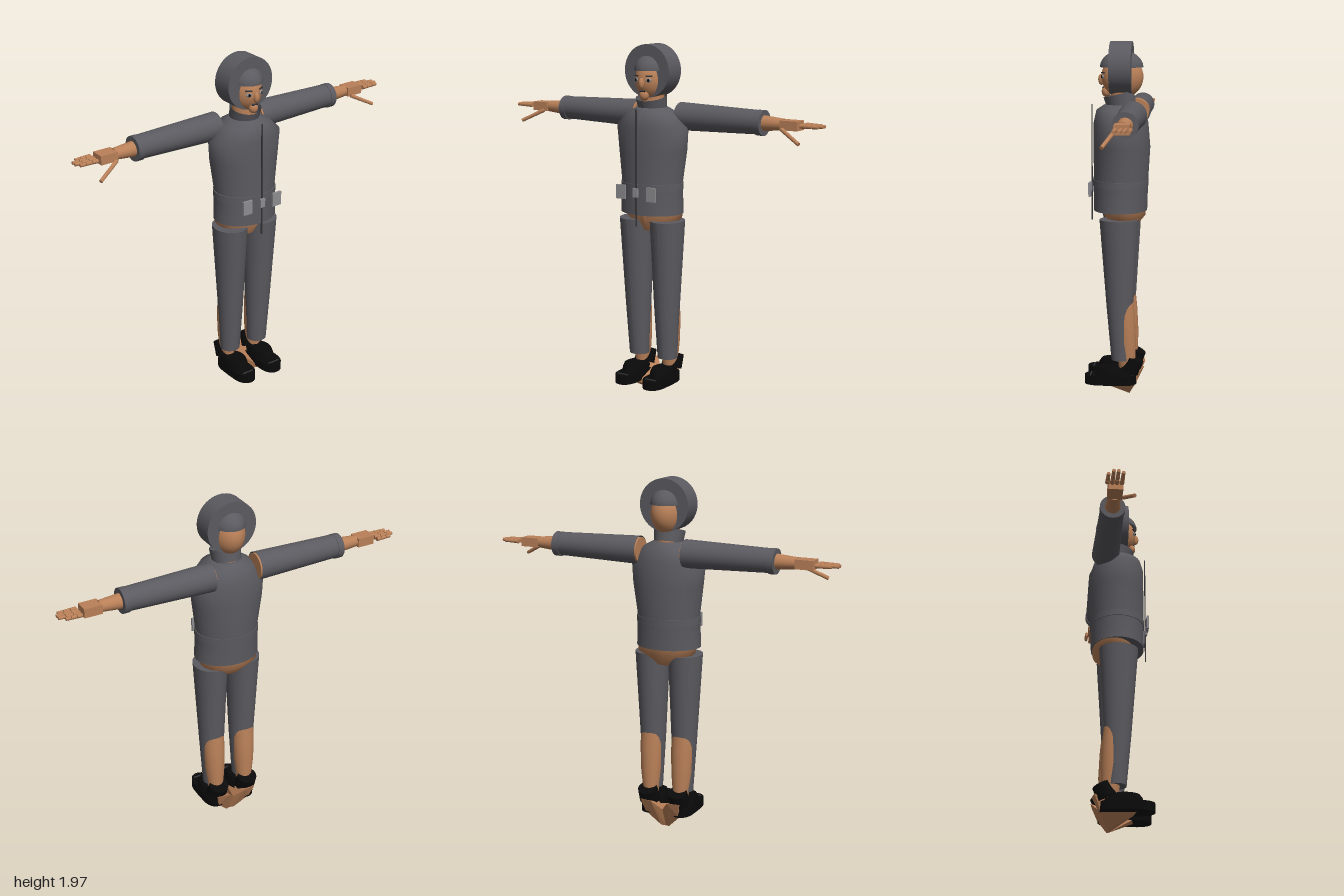
import * as THREE from 'three';
import { ConvexGeometry } from 'three/addons/geometries/ConvexGeometry.js';

const mat = (name, color) => {
  const m = new THREE.MeshStandardMaterial({ color });
  m.name = name;
  return m;
};

export function createModel() {
  const suit = mat('suitGrey', 0x5a5a60);
  const skin = mat('skin', 0xb98058);
  const black = mat('shoeBlack', 0x0a0a0b);
  const metal = mat('lightGrey', 0x8e8e92);
  const dark = mat('darkGrey', 0x38383c);
  suit.side = skin.side = THREE.DoubleSide;

  const model = new THREE.Group();
  model.name = 'figure';

  const add = (parent, name, geo, material, pos = [0, 0, 0], rot = [0, 0, 0]) => {
    const mesh = new THREE.Mesh(geo, material);
    mesh.name = name;
    mesh.position.set(...pos);
    mesh.rotation.set(...rot);
    parent.add(mesh);
    return mesh;
  };
  const box = (w, h, d) => new THREE.BoxGeometry(w, h, d);
  const ball = (rx, ry, rz, ...cut) => new THREE.SphereGeometry(1, 32, 20, ...cut).scale(rx, ry, rz);

  // Elliptic sections from top to bottom: [y, centre x, half width, front z, back z]
  const loft = (rows, open = false) => {
    const n = rows.length - 1;
    const g = new THREE.CylinderGeometry(1, 1, 1, 32, n, open);
    const p = g.attributes.position;
    for (let i = 0; i < p.count; i++) {
      const [y, cx, rx, f, b] = rows[Math.round((0.5 - p.getY(i)) * n)];
      p.setXYZ(i, cx + p.getX(i) * rx, y, (f + b) / 2 + p.getZ(i) * (f - b) / 2);
    }
    g.computeVertexNormals();
    return g;
  };

  // Straight round bar between two points
  const bar = (a, b, ra, rb, sides = 24, open = false) => {
    const A = new THREE.Vector3(...a), B = new THREE.Vector3(...b);
    const dir = B.clone().sub(A);
    const g = new THREE.CylinderGeometry(rb, ra, dir.length(), sides, 1, open);
    g.applyQuaternion(new THREE.Quaternion().setFromUnitVectors(new THREE.Vector3(0, 1, 0), dir.normalize()));
    const mid = A.add(B).multiplyScalar(0.5);
    return g.translate(mid.x, mid.y, mid.z);
  };

  // Jacket with waist seam, collar and front fastening
  add(model, 'jacket', loft([
    [1.64, 0, 0.085, 0.075, -0.1], [1.61, 0, 0.14, 0.12, -0.145], [1.54, 0, 0.213, 0.135, -0.165],
    [1.41, 0, 0.2, 0.135, -0.176], [1.23, 0, 0.175, 0.135, -0.165], [1.06, 0, 0.183, 0.135, -0.16],
  ]), suit);
  add(model, 'waistBand', loft([[1.23, 0, 0.18, 0.139, -0.168], [1.195, 0, 0.181, 0.139, -0.167]]), suit);
  add(model, 'collar', loft([[0.035, 0, 0.086, 0.085, -0.085], [-0.035, 0, 0.078, 0.08, -0.08]], true),
    suit, [0, 1.665, -0.01], [0.25, 0, 0]);
  add(model, 'neck', bar([0, 1.6, -0.02], [0, 1.75, -0.02], 0.065, 0.06), skin);
  add(model, 'zip', box(0.008, 0.64, 0.006), dark, [0, 1.32, 0.145]);
  add(model, 'buckle', box(0.03, 0.05, 0.012), metal, [0, 1.187, 0.15]);
  add(model, 'hips', loft([
    [1.09, 0, 0.172, 0.078, -0.155], [1.03, 0, 0.165, 0.075, -0.15], [0.96, 0, 0.08, 0.04, -0.09],
  ]), skin);

  // Head, cap and drum-shaped hood
  add(model, 'head', ball(0.09, 0.115, 0.115), skin, [0, 1.79, -0.022]);
  add(model, 'cap', ball(0.094, 0.09, 0.118, 0, Math.PI * 2, 0, Math.PI / 2), suit, [0, 1.842, -0.018]);
  add(model, 'hood', bar([0, 1.838, -0.077], [0, 1.838, 0.043], 0.143, 0.143, 48), suit);
  add(model, 'nose', ball(0.015, 0.03, 0.018), skin, [0, 1.775, 0.092]);
  add(model, 'chin', ball(0.026, 0.03, 0.025), skin, [0, 1.71, 0.066]);
  add(model, 'mouth', box(0.036, 0.007, 0.008), dark, [0, 1.732, 0.082], [0.4, 0, 0]);

  for (const s of [1, -1]) {
    const side = s > 0 ? 'left' : 'right';
    const part = (name, geo, material, pos, rot) => add(model, side + name, geo, material, pos, rot);

    // Face details and pockets
    part('Eye', ball(0.017, 0.011, 0.006), metal, [s * 0.04, 1.792, 0.082], [0, s * 0.45, 0]);
    part('Pupil', ball(0.007, 0.008, 0.004), black, [s * 0.04, 1.792, 0.087], [0, s * 0.45, 0]);
    part('Brow', box(0.036, 0.006, 0.008), dark, [s * 0.04, 1.814, 0.08], [0, s * 0.45, 0]);
    part('Pocket', box(0.058, 0.078, 0.012), metal, [s * 0.098, 1.184, 0.147]);

    // Arm and sleeve
    const z = -0.09;
    part('Sleeve', bar([s * 0.135, 1.59, z], [s * 0.63, 1.59, z], 0.077, 0.064, 32, true), suit);
    part('Cuff', bar([s * 0.62, 1.588, z], [s * 0.655, 1.588, z], 0.068, 0.068, 32), suit);
    part('UpperArm', bar([s * 0.13, 1.59, z], [s * 0.6, 1.59, z], 0.07, 0.05), skin);
    part('Forearm', bar([s * 0.6, 1.588, z], [s * 0.77, 1.588, z], 0.046, 0.031), skin);
    part('Palm', box(0.1, 0.05, 0.078), skin, [s * 0.815, 1.588, z]);

    // Fingers in three joints, then the thumb
    [[-0.135, 0.97], [-0.11, 1], [-0.086, 1], [-0.06, 0.985]].forEach(([fz, end], i) => {
      const start = 0.88, step = (end - start) / 3;
      for (let j = 0; j < 3; j++) {
        const a = start + j * step;
        part('Finger' + (i + 1), bar([s * a, 1.59, fz], [s * (a + step - 0.003), 1.59, fz],
          0.012 - j * 0.001, 0.011 - j * 0.001, 10), skin);
      }
    });
    part('Thumb', bar([s * 0.78, 1.568, -0.045], [s * 0.905, 1.505, 0.003], 0.011, 0.01, 10), skin);

    // Trouser leg and calf
    part('TrouserLeg', loft([
      [1.02, s * 0.1, 0.094, 0.095, -0.12], [0.52, s * 0.096, 0.071, 0.056, -0.09],
      [0.23, s * 0.095, 0.056, 0.03, -0.078],
    ]), suit);
    part('Calf', loft([
      [0.6, s * 0.096, 0.06, 0.02, -0.088], [0.48, s * 0.096, 0.063, 0.015, -0.1],
      [0.34, s * 0.095, 0.058, 0.01, -0.107], [0.16, s * 0.092, 0.038, -0.015, -0.1],
    ]), skin);

    // Bare foot slanting inward beneath the shoe
    part('Foot', new ConvexGeometry([
      [0.12, 0.18, -0.14], [0.05, 0.18, -0.15], [0, 0.12, -0.1], [0, 0.008, -0.055], [0.025, 0.012, -0.065],
      [0.1, 0.09, 0.08], [0.04, 0.1, 0.085], [0.1, 0.1, -0.11],
    ].map(([x, y, fz]) => new THREE.Vector3(s * x, y, fz))), skin);

    // Shoe: rounded sole, upper, strap and tilted ankle cuff
    const sole = new THREE.CylinderGeometry(0.062, 0.062, 0.05, 24);
    const p = sole.attributes.position;
    for (let i = 0; i < p.count; i++) {
      const q = p.getZ(i) / 0.062;
      p.setZ(i, Math.sign(q) * Math.sqrt(Math.abs(q)) * 0.145);
    }
    sole.computeVertexNormals();
    part('Sole', sole, black, [s * 0.093, 0.115, 0.035]);
    part('ShoeUpper', loft([
      [0.185, s * 0.093, 0.052, 0.1, -0.05], [0.165, s * 0.093, 0.06, 0.115, -0.09],
      [0.12, s * 0.093, 0.062, 0.125, -0.1],
    ]), black);
    part('ShoeTrim', box(0.07, 0.004, 0.006), dark, [s * 0.093, 0.142, 0.145]);
    part('AnkleCuff', loft([
      [0.04, 0, 0.055, 0.052, -0.052], [-0.04, 0, 0.06, 0.056, -0.056],
    ]), black, [s * 0.093, 0.2, -0.085], [-0.42, 0, 0]);
  }
  return model;
}
